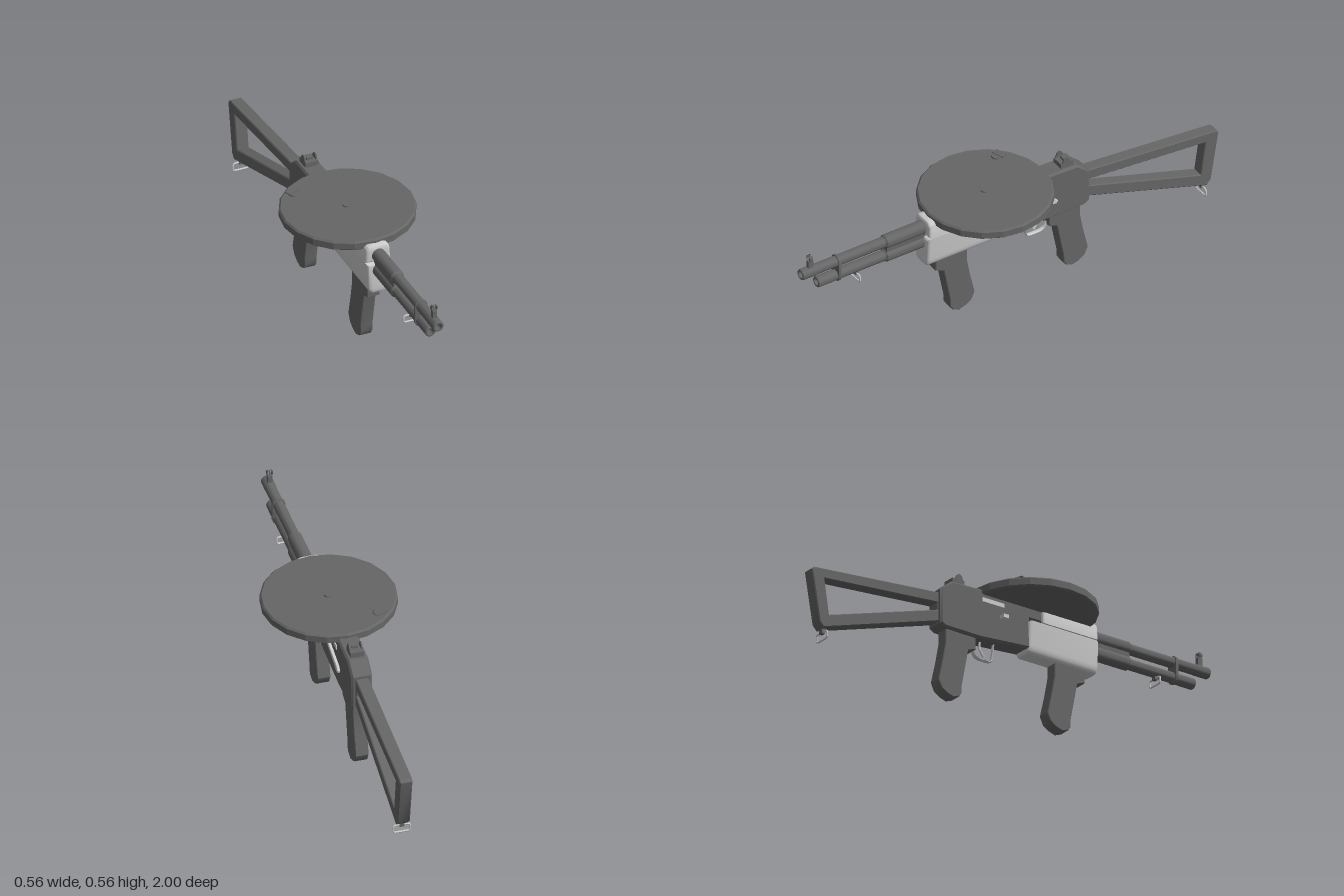
import * as THREE from 'three';
import { toCreasedNormals } from 'three/addons/utils/BufferGeometryUtils.js';

const dark = new THREE.MeshStandardMaterial({ color: 0x666666, side: THREE.DoubleSide });
const light = new THREE.MeshStandardMaterial({ color: 0xcccccc, side: THREE.DoubleSide });

export function createModel() {
  const model = new THREE.Group();

  function add(name, geometry, material = dark, x = 0, y = 0, z = 0) {
    const mesh = new THREE.Mesh(toCreasedNormals(geometry, 0.6), material);
    mesh.name = name;
    mesh.position.set(x, y, z);
    model.add(mesh);
    return mesh;
  }
  const points = (list) => list.map(([a, b]) => new THREE.Vector2(a, b));

  // Side outline in [z, y], given thickness along x
  function sidePlate(outline, width, bevel = 0, hole) {
    const shape = new THREE.Shape(points(outline));
    if (hole) shape.holes.push(new THREE.Path(points(hole)));
    const g = new THREE.ExtrudeGeometry(shape, {
      depth: width - 2 * bevel, bevelEnabled: bevel > 0, bevelSize: bevel,
      bevelThickness: bevel, bevelOffset: -bevel, bevelSegments: 1,
    });
    g.translate(0, 0, -width / 2 + bevel);
    return g.rotateY(-Math.PI / 2);
  }
  // Front cross-section swept along z with rounded ends
  function frontBlock(shape, z0, z1, bevel) {
    const g = new THREE.ExtrudeGeometry(shape, {
      depth: z1 - z0 - 2 * bevel, bevelSize: bevel, bevelThickness: bevel,
      bevelOffset: -bevel, bevelSegments: 3, curveSegments: 6,
    });
    return g.translate(0, 0, z0 + bevel);
  }
  const box = (w, h, d) => new THREE.BoxGeometry(w, h, d);
  const alongZ = (profile, sides) =>
    new THREE.LatheGeometry(points(profile), sides).rotateX(Math.PI / 2);
  const wire = (list, r, closed = true) => new THREE.TubeGeometry(
    new THREE.CatmullRomCurve3(list.map((p) => new THREE.Vector3(...p)), closed, 'catmullrom', 0.2), 40, r, 6, closed);

  // Receiver
  add('receiver', sidePlate([
    [0.14, 0.505], [-0.158, 0.513], [-0.31, 0.508], [-0.366, 0.46], [-0.366, 0.31],
    [-0.345, 0.296], [-0.17, 0.294], [0.08, 0.315], [0.08, 0.444], [0.14, 0.444],
  ], 0.088, 0.008));

  // Handguard halves
  const upper = new THREE.Shape();
  upper.moveTo(-0.055, 0.44).lineTo(0.055, 0.44).lineTo(0.053, 0.49);
  upper.quadraticCurveTo(0.05, 0.515, 0.025, 0.515).lineTo(-0.025, 0.515);
  upper.quadraticCurveTo(-0.05, 0.515, -0.053, 0.49);
  add('upperHandguard', frontBlock(upper, 0.135, 0.413, 0.012), light);
  const lower = new THREE.Shape();
  lower.moveTo(-0.053, 0.437).lineTo(-0.047, 0.33);
  lower.quadraticCurveTo(-0.044, 0.293, -0.02, 0.293).lineTo(0.02, 0.293);
  lower.quadraticCurveTo(0.044, 0.293, 0.047, 0.33).lineTo(0.053, 0.437);
  add('lowerHandguard', frontBlock(lower, 0.067, 0.42, 0.015), light);

  // Twin barrels with open bores
  for (const [name, y, tip] of [['upperBarrel', 0.472, 1], ['lowerBarrel', 0.405, 0.925]]) {
    add(name, alongZ([
      [0, 0.38], [0.029, 0.38], [0.029, 0.595], [0.023, 0.602], [0.023, tip - 0.07],
      [0.024, tip - 0.065], [0.024, tip - 0.004], [0.021, tip], [0.015, tip], [0.013, tip - 0.05], [0, tip - 0.05],
    ], 20), dark, 0, y);
  }
  add('barrelBridge', box(0.034, 0.06, 0.19), dark, 0, 0.438, 0.5);

  // Band joining the barrels
  const band = new THREE.Shape();
  band.absarc(0, 0.472, 0.028, 0, Math.PI).absarc(0, 0.405, 0.028, Math.PI, Math.PI * 2);
  add('barrelBand', frontBlock(band, 0.82, 0.832, 0.001));

  // Drum magazine lying flat on top
  const drum = add('drumMagazine', new THREE.LatheGeometry(points([
    [0, 0], [0.272, 0], [0.279, 0.006], [0.279, 0.034], [0.272, 0.041], [0, 0.041],
  ]), 20), dark, 0, 0.49, 0.11);
  drum.geometry = drum.geometry.toNonIndexed();
  drum.geometry.computeVertexNormals();
  add('drumHub', new THREE.CylinderGeometry(0.019, 0.02, 0.006, 16), dark, 0, 0.533, 0.11);
  const latch = new THREE.Group();
  latch.name = 'drumLatch';
  const latchBase = new THREE.Mesh(new THREE.CylinderGeometry(0.022, 0.024, 0.007, 12), dark);
  latchBase.name = 'latchBase';
  const latchTab = new THREE.Mesh(box(0.056, 0.004, 0.028), dark);
  latchTab.name = 'latchTab';
  latchTab.position.set(-0.002, 0.004, -0.015);
  latchTab.rotation.y = 0.3;
  latch.add(latchBase, latchTab);
  latch.position.set(-0.162, 0.534, -0.052);
  model.add(latch);

  // Two matching pistol grips
  const grip = [
    [-0.18, 0.305], [-0.33, 0.305], [-0.33, 0.24], [-0.345, 0.16], [-0.367, 0.064], [-0.352, 0.03],
    [-0.325, 0.012], [-0.292, 0.002], [-0.262, 0.014], [-0.25, 0.035], [-0.25, 0.065], [-0.218, 0.23], [-0.18, 0.245],
  ];
  for (const [name, offset] of [['rearGrip', 0], ['frontGrip', 0.545]]) {
    add(name, sidePlate(grip, 0.056, 0.003), dark, 0, 0, offset);
  }

  // Open triangular stock
  add('stock', sidePlate(
    [[-0.355, 0.45], [-0.985, 0.392], [-0.998, 0.38], [-0.96, 0.155], [-0.94, 0.134], [-0.355, 0.323]],
    0.054, 0.004,
    [[-0.372, 0.401], [-0.935, 0.352], [-0.912, 0.198], [-0.372, 0.37]]));

  // Trigger and guard
  add('triggerGuard', wire([
    [0, 0.31, -0.075], [0, 0.27, -0.078], [0, 0.228, -0.085], [0, 0.22, -0.1],
    [0, 0.22, -0.15], [0, 0.23, -0.17], [0, 0.26, -0.185],
  ], 0.004, false).scale(2.5, 1, 1), light);
  add('trigger', wire([
    [0, 0.3, -0.142], [0, 0.265, -0.142], [0, 0.238, -0.122],
  ], 0.005, false), light);

  // Controls on both flanks
  add('ejectionPort', box(0.012, 0.018, 0.11), light, 0.042, 0.467, -0.105);
  add('chargingHandle', box(0.03, 0.017, 0.022), light, 0.05, 0.462, -0.06);
  add('selectorLever', sidePlate([
    [-0.015, 0.438], [-0.02, 0.428], [-0.185, 0.37], [-0.2, 0.37], [-0.205, 0.382], [-0.19, 0.397], [-0.04, 0.437],
  ], 0.014, 0.002), light, 0.049);
  add('sideSlot', box(0.006, 0.018, 0.11), light, -0.043, 0.467, -0.105);
  add('sideCatch', box(0.03, 0.016, 0.024), light, -0.056, 0.411, -0.06);

  // Front sight: post and curved ears
  add('frontSightBase', box(0.018, 0.036, 0.022), dark, 0, 0.51, 0.955);
  add('frontSightPost', new THREE.CylinderGeometry(0.002, 0.003, 0.025, 8), dark, 0, 0.538, 0.955);
  for (const side of [-1, 1]) {
    const ear = new THREE.TorusGeometry(0.012, 0.003, 6, 10, 1.9).rotateZ(-0.85).scale(side, 1, 3);
    add('frontSightEar', ear, dark, 0, 0.54, 0.955);
  }

  // Rear sight: block and two tall ears
  add('rearSightBase', box(0.056, 0.028, 0.06), dark, 0, 0.518, -0.267);
  for (const side of [-1, 1]) {
    add('rearSightEar', sidePlate(
      [[-0.235, 0.51], [-0.252, 0.552], [-0.265, 0.558], [-0.275, 0.55], [-0.295, 0.51]], 0.006), dark, side * 0.025);
  }
  add('rearSightLeaf', box(0.026, 0.012, 0.008), dark, 0, 0.536, -0.262);

  // Wire sling loops
  for (const [name, y, z, w, h] of [['frontSlingLoop', 0.362, 0.735, 0.034, 0.015], ['rearSlingLoop', 0.105, -0.93, 0.035, 0.017]]) {
    const a = w * 0.8, b = h * 0.6;
    add(name, wire([
      [-a, h, 0], [a, h, 0], [w, b, 0], [w, -b, 0], [a, -h, 0], [-a, -h, 0], [-w, -b, 0], [-w, b, 0],
    ], 0.004), light, 0, y, z);
    add(name + 'Mount', box(0.02, 0.03, 0.014), dark, 0, y + h + 0.008, z);
  }
  return model;
}
